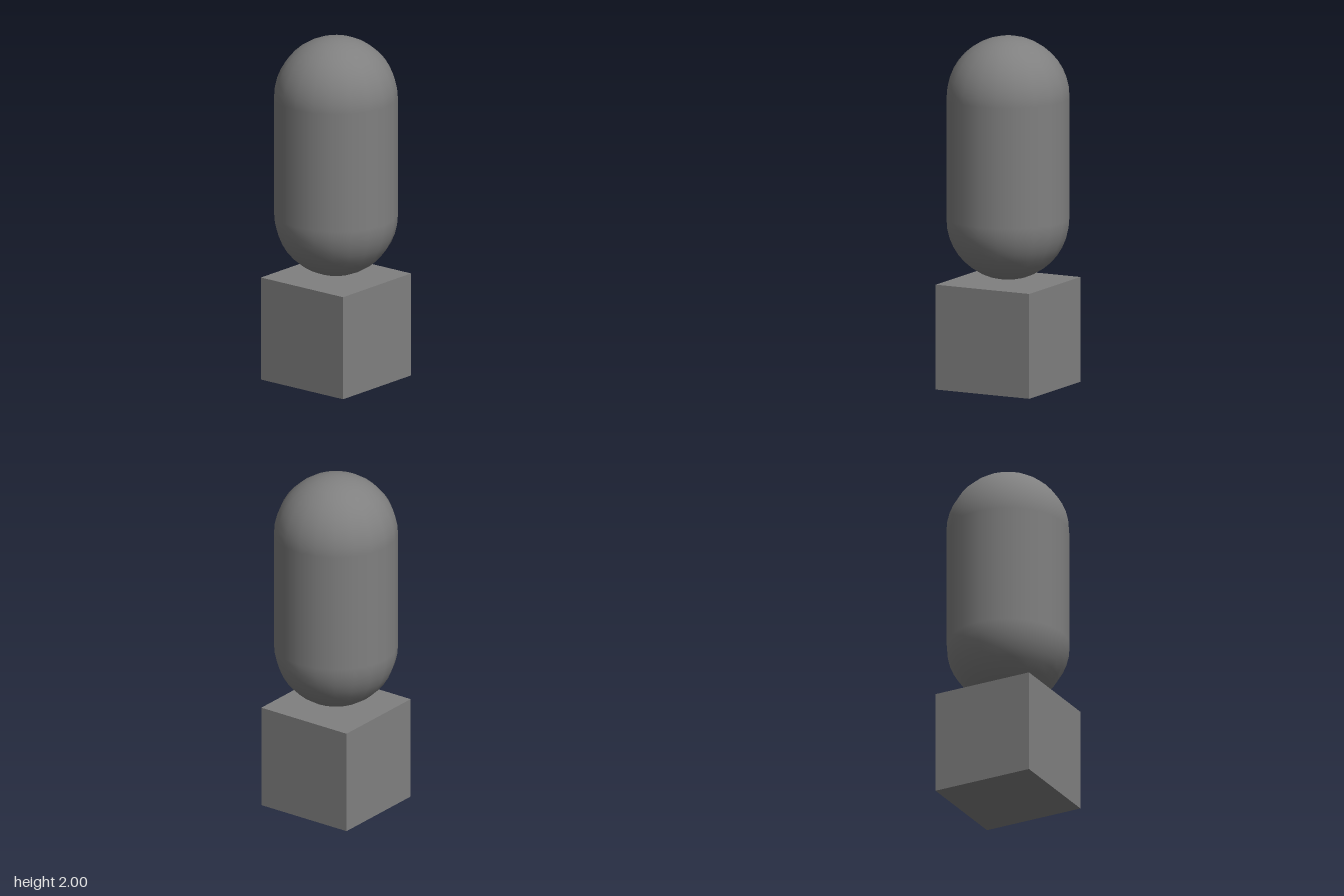
import * as THREE from 'three';

export function createModel() {
  const group = new THREE.Group();
  const material = new THREE.MeshStandardMaterial({ color: 0x808080 });

  // Square block standing on the ground
  const size = 0.6;
  const base = new THREE.Mesh(new THREE.BoxGeometry(size, size, size), material);
  base.name = 'base';
  base.position.y = size / 2;
  group.add(base);

  // Upright capsule floating just above the block
  const radius = 0.349, straight = 0.69;
  const capsule = new THREE.Mesh(new THREE.CapsuleGeometry(radius, straight, 10, 20), material);
  capsule.name = 'capsuleBody';
  capsule.position.y = 2 - radius - straight / 2;
  group.add(capsule);

  return group;
}
